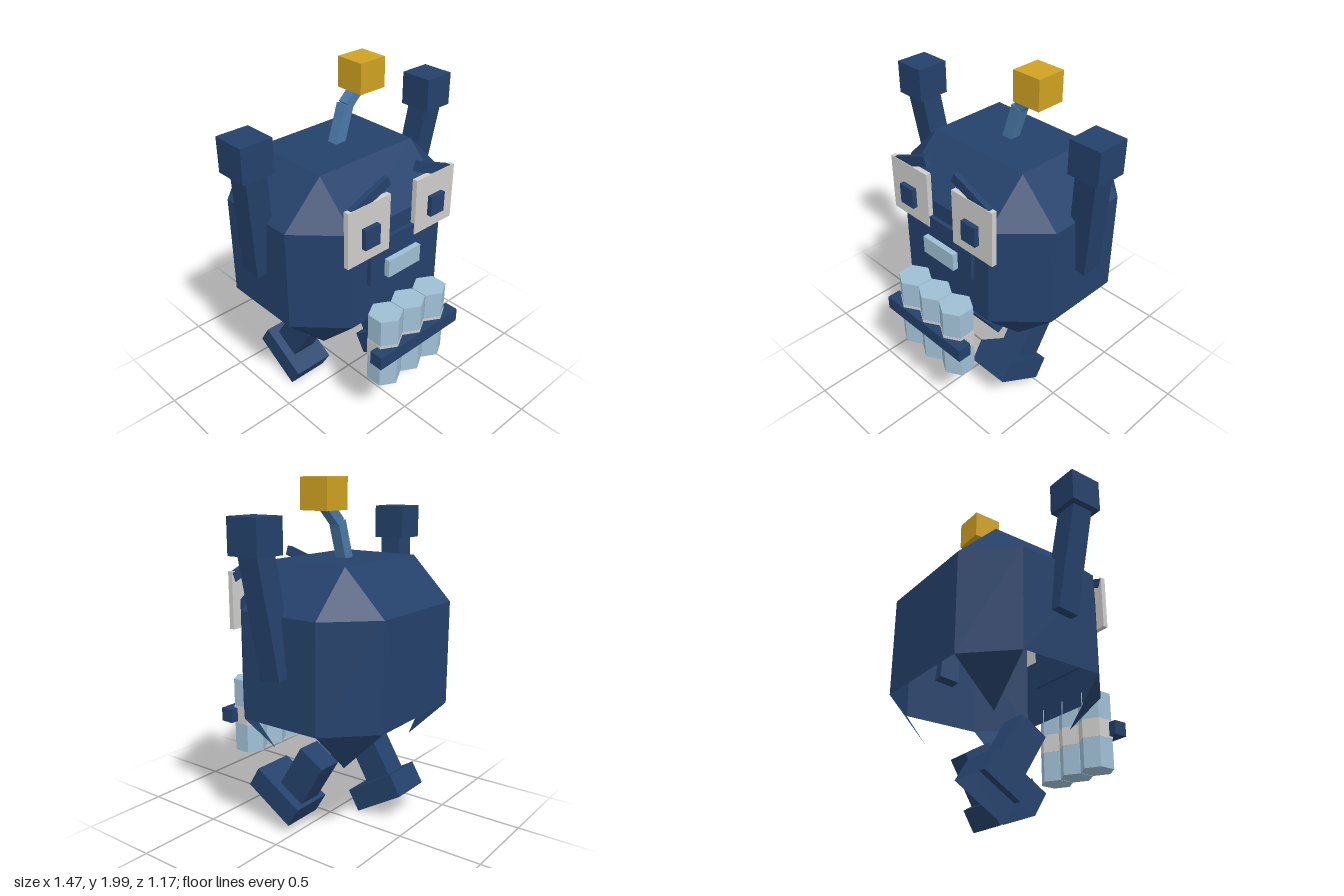
import * as THREE from 'three';

const mat = (name, color, side = THREE.FrontSide) => {
  const m = new THREE.MeshStandardMaterial({ color, side, flatShading: true });
  m.name = name;
  return m;
};

export function createModel() {
  const model = new THREE.Group();
  model.name = 'robot';
  const navy = mat('navy', 0x24416b, THREE.DoubleSide);
  const steel = mat('steel blue', 0x4a79a8);
  const pale = mat('pale blue', 0x9fbfd4);
  const grey = mat('light grey', 0xcfcecc);
  const gold = mat('gold', 0xd0a222);

  const add = (name, geometry, material, x = 0, y = 0, z = 0) => {
    const mesh = new THREE.Mesh(geometry, material);
    mesh.name = name;
    mesh.position.set(x, y, z);
    model.add(mesh);
    return mesh;
  };
  // box given by its extents on each axis
  const block = (name, material, [x0, x1], [y0, y1], [z0, z1]) =>
    add(name, new THREE.BoxGeometry(x1 - x0, y1 - y0, z1 - z0), material,
      (x0 + x1) / 2, (y0 + y1) / 2, (z0 + z1) / 2);
  // square bar between two points
  const bar = (name, material, from, to, width) => {
    const a = new THREE.Vector3(...from), b = new THREE.Vector3(...to);
    const dir = b.clone().sub(a);
    const mesh = add(name, new THREE.BoxGeometry(width, dir.length(), width), material);
    mesh.position.copy(a).add(b).multiplyScalar(0.5);
    mesh.quaternion.setFromUnitVectors(new THREE.Vector3(0, 1, 0), dir.normalize());
    return mesh;
  };

  add('body', bodyGeometry(), navy);

  // face plate and mouth
  block('facePlate', navy, [-0.225, 0.225], [0.975, 1.23], [0.37, 0.407]);
  block('mouth', pale, [-0.12, 0.12], [1.0, 1.105], [0.4, 0.44]);

  for (const s of [1, -1]) {
    const side = s > 0 ? 'left' : 'right';
    // eyes and brows
    add(side + 'Eye', new THREE.BoxGeometry(0.293, 0.325, 0.03), grey, s * 0.243, 1.327, 0.397);
    add(side + 'Pupil', new THREE.BoxGeometry(0.103, 0.117, 0.035), navy, s * 0.243, 1.307, 0.423);
    const brow = add(side + 'Brow', new THREE.BoxGeometry(0.29, 0.055, 0.03), navy, s * 0.24, 1.51, 0.393);
    brow.rotation.z = -s * 0.38;

    // raised arms with block hands
    bar(side + 'Arm', navy, [s * 0.565, 1.007, -0.097], [s * 0.637, 1.66, -0.028], 0.128);
    add(side + 'Hand', new THREE.BoxGeometry(0.187, 0.19, 0.193), navy, s * 0.641, 1.725, -0.032);

    // striding legs: the left swings forward, the right back
    const tilt = -s * 0.545;
    const leg = add(side + 'Leg', new THREE.BoxGeometry(0.15, 0.3, 0.177), navy,
      s * 0.24, 0.353, s > 0 ? -0.029 : -0.16);
    leg.rotation.x = tilt;
    const foot = add(side + 'Foot', openBox(0.255, 0.137, 0.343), navy,
      s * 0.243, s > 0 ? 0.207 : 0.153, s > 0 ? 0.13 : -0.24);
    foot.rotation.x = tilt;
  }

  // bent antenna with a block tip
  bar('antennaLower', steel, [-0.003, 1.54, -0.102], [0.07, 1.765, -0.102], 0.065);
  bar('antennaUpper', steel, [0.07, 1.76, -0.102], [0.18, 1.86, -0.102], 0.058);
  block('antennaTip', gold, [0.1, 0.277], [1.83, 2.0], [-0.19, -0.015]);

  // row of hexagonal canisters with collars, held by a strap
  for (const x of [-0.174, 0, 0.174]) {
    add('canister', new THREE.CylinderGeometry(0.0975, 0.0975, 0.45, 6), pale, x, 0.595, 0.4775);
    add('canisterCollar', new THREE.CylinderGeometry(0.1, 0.1, 0.11, 6), grey, x, 0.6, 0.4775);
  }
  block('strap', navy, [-0.31, 0.31], [0.558, 0.64], [0.503, 0.585]);

  return model;
}

// box without its bottom face
function openBox(w, h, d) {
  const g = new THREE.BoxGeometry(w, h, d);
  const index = Array.from(g.index.array);
  index.splice(18, 6);
  g.setIndex(index);
  g.clearGroups();
  return g;
}

// bevelled shell, open below, with a pointed flap at each lower corner
function bodyGeometry() {
  const zc = -0.1, outX = 0.57, inX = 0.33, outZ = 0.4825, inZ = 0.2425;
  const corners = [[1, 1], [1, -1], [-1, -1], [-1, 1]];
  const ring = (y) => corners.flatMap(([sx, sz]) => {
    const pair = [[sx * inX, y, zc + sz * outZ], [sx * outX, y, zc + sz * inZ]];
    return sx * sz > 0 ? pair : pair.reverse();
  });
  const rect = (y) => corners.map(([sx, sz]) => [sx * inX, y, zc + sz * inZ]);
  const lo = ring(0.738), hi = ring(1.326), top = rect(1.568), tips = rect(0.497);
  const points = [];
  const tri = (a, b, c) => points.push(...a, ...b, ...c);
  const quad = (a, b, c, d) => { tri(a, b, c); tri(a, c, d); };
  for (let i = 0; i < 8; i++) {
    const j = (i + 1) % 8;
    quad(lo[i], lo[j], hi[j], hi[i]);
  }
  for (let k = 0; k < 4; k++) {
    const a = 2 * k, b = a + 1, c = (a + 2) % 8;
    tri(hi[a], hi[b], top[k]);
    quad(hi[b], hi[c], top[(k + 1) % 4], top[k]);
    tri(lo[b], lo[a], tips[k]);
  }
  quad(...top);
  const g = new THREE.BufferGeometry();
  g.setAttribute('position', new THREE.Float32BufferAttribute(points, 3));
  g.computeVertexNormals();
  return g;
}
